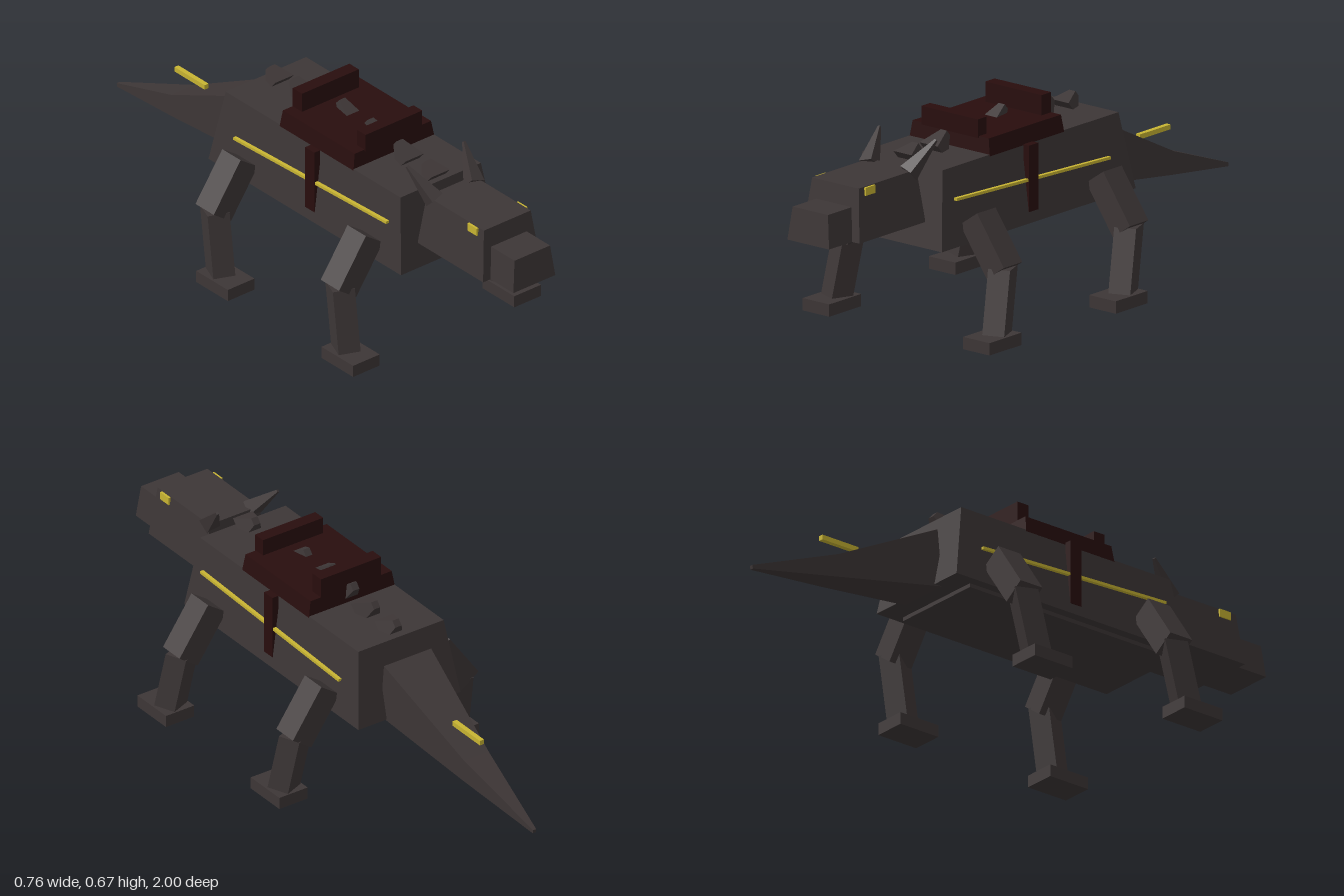
import * as THREE from 'three';

const hide = new THREE.MeshStandardMaterial({ color: 0x3d3636 });
hide.name = 'dark hide';
const leather = new THREE.MeshStandardMaterial({ color: 0x280d0d });
leather.name = 'dark red leather';
const yellow = new THREE.MeshStandardMaterial({ color: 0xc8b432 });
yellow.name = 'yellow trim';

const lerp = THREE.MathUtils.lerp;

export function createModel() {
  const model = new THREE.Group();

  const add = (name, geometry, material, parent = model) => {
    const mesh = new THREE.Mesh(geometry, material);
    mesh.name = name;
    parent.add(mesh);
    return mesh;
  };

  // Unit box whose corners are moved by a rule; faces stay flat
  const warpBox = (rule) => {
    const g = new THREE.BoxGeometry(1, 1, 1);
    const p = g.attributes.position;
    for (let i = 0; i < p.count; i++) p.setXYZ(i, ...rule(p.getX(i), p.getY(i), p.getZ(i)));
    g.computeVertexNormals();
    return g;
  };

  // Box tapering upward; each end is [y, halfWidth, zBack, zFront]
  const taper = (a, b) => warpBox((x, y, z) => {
    const [py, hx, z0, z1] = y < 0 ? a : b;
    return [2 * x * hx, py, lerp(z0, z1, z + 0.5)];
  });

  // Plain box from its limits
  const box = (x0, x1, y0, y1, z0, z1) => warpBox((x, y, z) =>
    [lerp(x0, x1, x + 0.5), lerp(y0, y1, y + 0.5), lerp(z0, z1, z + 0.5)]);

  // Four-sided spike standing on the origin
  const spike = (bottom, top, h) => warpBox((x, y, z) => {
    const w = 2 * (y < 0 ? bottom : top);
    return [x * w, (y + 0.5) * h, z * w];
  });

  // Trunk and head
  add('body', taper([0.3, 0.195, -0.335, 0.59], [0.55, 0.163, -0.29, 0.55]), hide);
  add('bellyPlate', taper([0.287, 0.163, -0.255, 0.515], [0.301, 0.163, -0.255, 0.515]), hide);
  add('head', taper([0.38, 0.115, 0.575, 0.89], [0.55, 0.095, 0.595, 0.87]), hide);
  add('snout', taper([0.38, 0.085, 0.84, 1.0], [0.487, 0.072, 0.85, 0.99]), hide);

  // Tail in two tapering sections: [z top, z bottom, half width, y bottom, y top]
  const tail = [
    [-0.325, -0.305, 0.09, 0.3, 0.49],
    [-0.69, -0.68, 0.047, 0.237, 0.312],
    [-1.0, -0.998, 0.006, 0.186, 0.198],
  ];
  for (let i = 0; i < 2; i++) {
    add(i ? 'tailTip' : 'tailBase', warpBox((x, y, z) => {
      const [zt, zb, hx, y0, y1] = tail[z > 0 ? i : i + 1];
      return [2 * x * hx, y < 0 ? y0 : y1, y < 0 ? zb : zt];
    }), hide);
  }
  add('tailBar', box(-0.008, 0.008, 0.368, 0.384, -0.72, -0.575), yellow);

  // Backward-leaning spines, tallest in the middle
  [0.06, 0.075, 0.095, 0.11, 0.095, 0.075, 0.06].forEach((h, i) => {
    const s = add('spine', spike(0.037, 0.012, h), hide);
    s.position.set(0, 0.547, 0.526 - 0.125 * i);
    s.rotation.x = -0.85;
  });

  // Saddle with raised front and rear bars
  add('saddle', taper([0.545, 0.164, -0.03, 0.325], [0.6, 0.155, -0.025, 0.32]), leather);
  add('saddleFrontBar', box(-0.115, 0.115, 0.595, 0.655, 0.283, 0.325), leather);
  add('saddleRearBar', box(-0.115, 0.115, 0.595, 0.665, -0.025, 0.02), leather);

  // Parts mirrored left and right
  for (const s of [1, -1]) {
    const side = s > 0 ? 'left' : 'right';

    add(side + 'Strap', box(s * 0.18 - 0.012, s * 0.18 + 0.012, 0.335, 0.55, 0.126, 0.17), leather);
    add(side + 'Eye', box(s * 0.097 - 0.006, s * 0.097 + 0.006, 0.522, 0.548, 0.8, 0.845), yellow);

    // Side stripe sloping gently to the rear
    add(side + 'Stripe', warpBox((x, y, z) =>
      [s * 0.184 + x * 0.012, 0.437 + 0.03 * z + y * 0.009, 0.145 + 0.735 * z]), yellow);

    const horn = add(side + 'Horn', spike(0.024, 0.004, 0.135), hide);
    horn.position.set(s * 0.08, 0.54, 0.615);
    horn.quaternion.setFromUnitVectors(new THREE.Vector3(0, 1, 0),
      new THREE.Vector3(s * 0.036, 0.095, -0.092).normalize());

    // Splayed legs
    for (const [end, z] of [['front', 0.437], ['hind', -0.165]]) {
      const leg = new THREE.Group();
      leg.name = side + (end === 'front' ? 'FrontLeg' : 'HindLeg');
      leg.position.z = z;
      model.add(leg);

      const thigh = add('thigh', new THREE.BoxGeometry(0.085, 0.19, 0.088), hide, leg);
      thigh.position.set(s * 0.265, 0.309, 0);
      thigh.rotation.z = s * 0.61;

      const shin = new THREE.BoxGeometry(0.072, 0.22, 0.075).rotateY(s * 0.38);
      const p = shin.attributes.position;
      for (let i = 0; i < p.count; i++) {
        const down = 0.5 - p.getY(i) / 0.22;
        p.setX(i, p.getX(i) + s * 0.014 * down);
        p.setZ(i, p.getZ(i) + 0.047 * down);
      }
      shin.computeVertexNormals();
      add('shin', shin, hide, leg).position.set(s * 0.313, 0.132, 0);

      const foot = add('foot', new THREE.BoxGeometry(0.108, 0.04, 0.152), hide, leg);
      foot.position.set(s * 0.327, 0.02, 0.067);
    }
  }
  return model;
}
